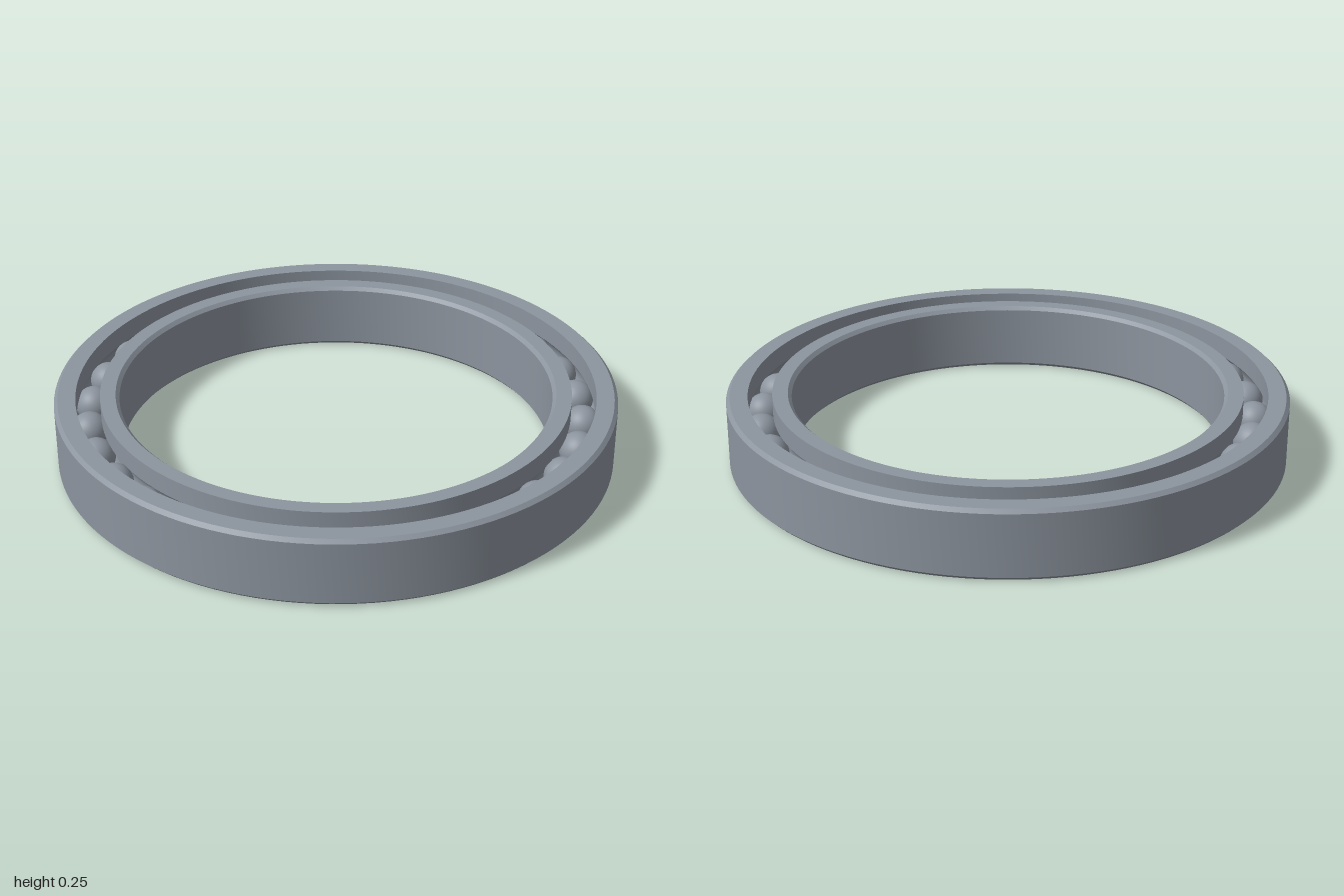
import * as THREE from 'three';
import { toCreasedNormals } from 'three/addons/utils/BufferGeometryUtils.js';

const HEIGHT = 0.25, MID = HEIGHT / 2, CHAMFER = 0.013;
const OUTER = 1, OUTER_WALL = 0.924, INNER_WALL = 0.838, BORE = 0.77;
const PITCH = 0.881, BALL_RADIUS = 0.067, BALL_COUNT = 30;

// Arc of the ball groove, cut into a wall at the given radius; runs along the wall
function groove(wall) {
  const r = BALL_RADIUS + 0.001, steps = 14, offset = wall - PITCH;
  const half = Math.acos(Math.abs(offset) / r);
  const centre = offset > 0 ? 0 : Math.PI;
  return Array.from({ length: steps + 1 }, (_, i) => {
    const a = centre + half - (2 * half * i) / steps;
    return [PITCH + r * Math.cos(a), MID + r * Math.sin(a)];
  });
}

// Closed anticlockwise profile turned round the vertical axis
function ring(name, profile, material) {
  const points = [...profile, profile[0]].map(([x, y]) => new THREE.Vector2(x, y));
  const geometry = toCreasedNormals(new THREE.LatheGeometry(points, 128), 0.5);
  const mesh = new THREE.Mesh(geometry, material);
  mesh.name = name;
  return mesh;
}

export function createModel() {
  const model = new THREE.Group();
  model.name = 'ballBearing';
  const steel = new THREE.MeshStandardMaterial({ color: 0x8c949e });
  steel.name = 'steel grey';

  // Outer race: chamfered outside, groove inside
  model.add(ring('outerRace', [
    [OUTER_WALL, 0], [OUTER - CHAMFER, 0], [OUTER, CHAMFER],
    [OUTER, HEIGHT - CHAMFER], [OUTER - CHAMFER, HEIGHT], [OUTER_WALL, HEIGHT],
    ...groove(OUTER_WALL),
  ], steel));

  // Inner race: chamfered bore, groove outside
  model.add(ring('innerRace', [
    [BORE + CHAMFER, 0], [INNER_WALL, 0],
    ...groove(INNER_WALL).reverse().sort((a, b) => a[1] - b[1]),
    [INNER_WALL, HEIGHT], [BORE + CHAMFER, HEIGHT],
    [BORE, HEIGHT - CHAMFER], [BORE, CHAMFER],
  ], steel));

  // Balls spaced evenly between the races
  const balls = new THREE.Group();
  balls.name = 'balls';
  const ballGeometry = new THREE.SphereGeometry(BALL_RADIUS, 32, 20);
  for (let i = 0; i < BALL_COUNT; i++) {
    const a = (i / BALL_COUNT) * Math.PI * 2;
    const ball = new THREE.Mesh(ballGeometry, steel);
    ball.name = `ball${i + 1}`;
    ball.position.set(PITCH * Math.cos(a), MID, PITCH * Math.sin(a));
    balls.add(ball);
  }
  model.add(balls);
  return model;
}
